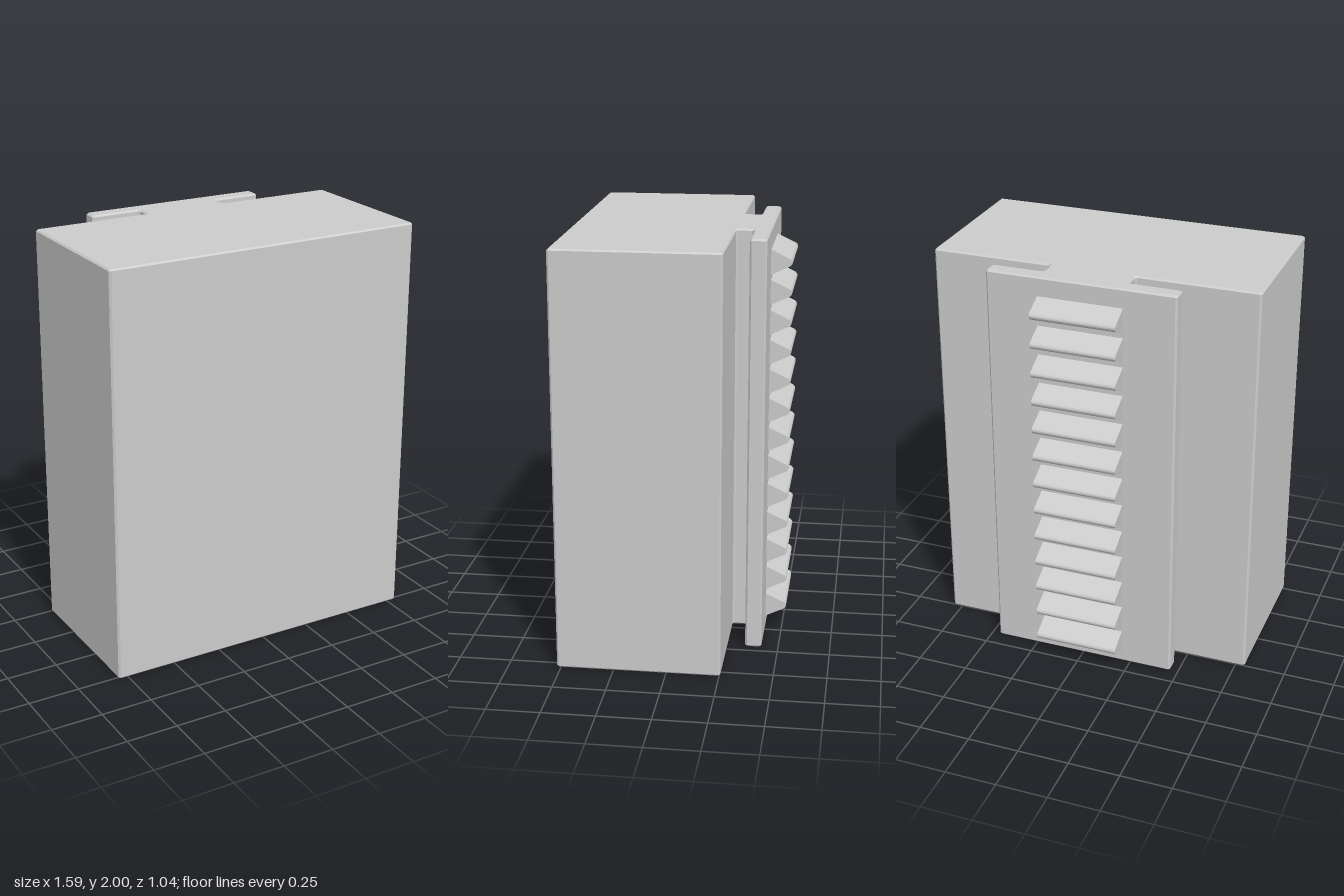
import * as THREE from 'three';

const material = new THREE.MeshStandardMaterial({ color: 0xcccccc, flatShading: true });

// Shape with every corner cut by a small chamfer c
function chamferedShape(points, c) {
  const pts = points.map(([x, y]) => new THREE.Vector2(x, y));
  const out = [];
  pts.forEach((p, i) => {
    const prev = pts[(i + pts.length - 1) % pts.length];
    const next = pts[(i + 1) % pts.length];
    for (const q of [prev, next]) out.push(p.clone().add(q.clone().sub(p).setLength(c)));
  });
  return new THREE.Shape(out);
}

export function createModel() {
  const model = new THREE.Group();

  // Block, neck and back plate: one outline (x, -z) extruded upwards
  const half = [[0.797, -0.52], [0.797, 0.255], [0.207, 0.255], [0.207, 0.34], [0.46, 0.34], [0.46, 0.419]];
  const mirrored = half.map(([x, y]) => [-x, y]).reverse();
  const b = 0.008;
  const bodyGeo = new THREE.ExtrudeGeometry(chamferedShape([...half, ...mirrored], 0.009), {
    depth: 2 - 2 * b, bevelEnabled: true, bevelSize: b, bevelOffset: -b, bevelThickness: b, bevelSegments: 1,
  });
  bodyGeo.rotateX(-Math.PI / 2).translate(0, b, 0);
  const body = new THREE.Mesh(bodyGeo, material);
  body.name = 'blockWithRail';
  model.add(body);

  // Blunt-tipped wedge teeth down the back plate
  const tooth = new THREE.Shape();
  tooth.moveTo(-0.01, -0.06);
  tooth.lineTo(0, -0.06);
  tooth.lineTo(0.092, -0.016);
  tooth.quadraticCurveTo(0.11, 0, 0.092, 0.016);
  tooth.lineTo(0, 0.06);
  tooth.lineTo(-0.01, 0.06);
  const toothGeo = new THREE.ExtrudeGeometry(tooth, { depth: 0.414, bevelEnabled: false, curveSegments: 5 });
  toothGeo.translate(0, 0, -0.207).rotateY(Math.PI / 2);

  const teeth = new THREE.Group();
  teeth.name = 'teeth';
  for (let i = 0; i < 13; i++) {
    const mesh = new THREE.Mesh(toothGeo, material);
    mesh.name = 'tooth';
    mesh.position.set(0, 0.115 + i * 0.1443, -0.419);
    teeth.add(mesh);
  }
  model.add(teeth);
  return model;
}
